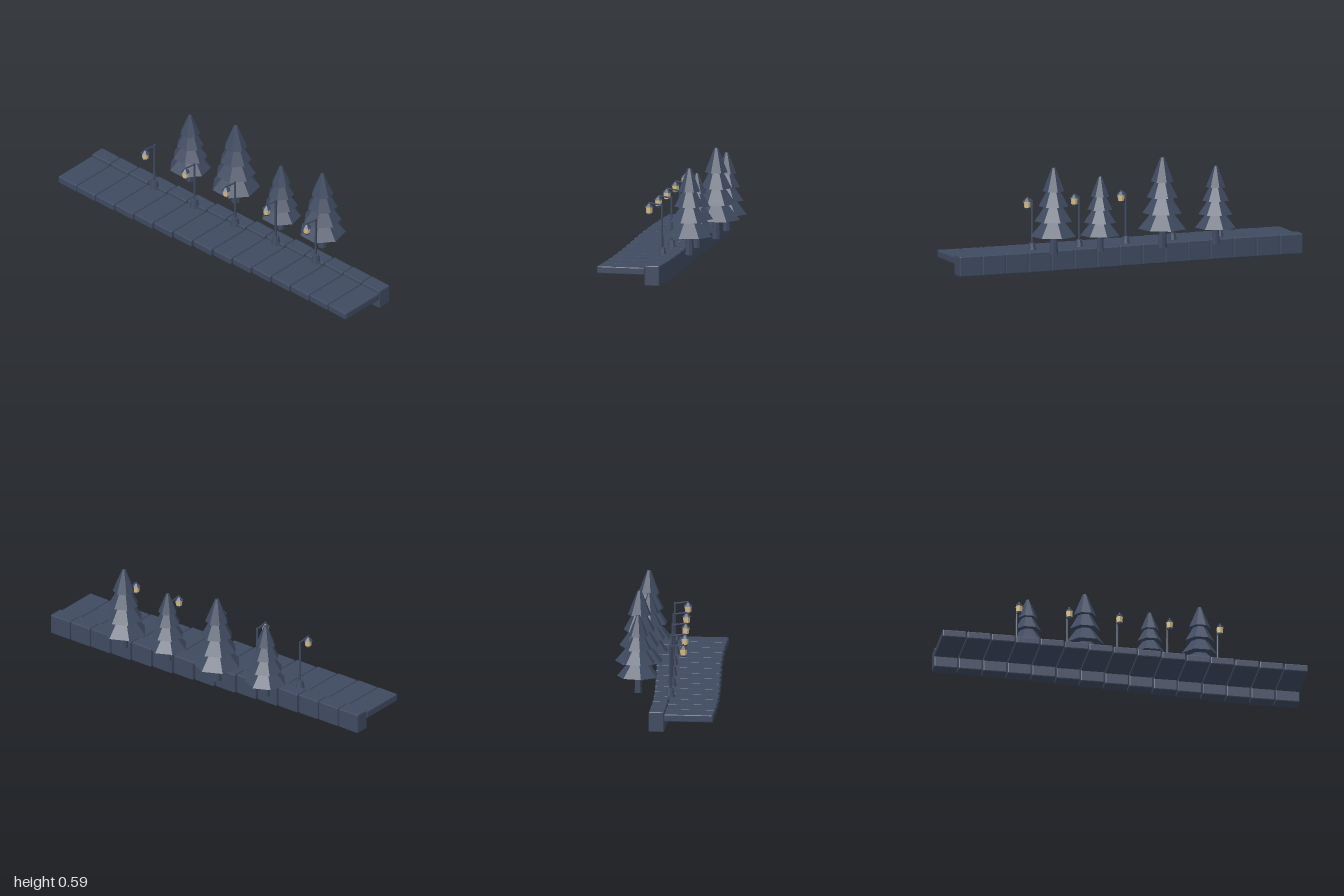
import * as THREE from 'three';
import { RoundedBoxGeometry } from 'three/addons/geometries/RoundedBoxGeometry.js';

const slate = new THREE.MeshStandardMaterial({ color: 0x3f4a60 });
slate.name = 'slate';
const lampGlow = new THREE.MeshStandardMaterial({ color: 0xd6c08a });
lampGlow.name = 'lampGlow';

// gentle S-curve followed by the whole promenade
const drift = (x) => -0.0548 * Math.sin((x * Math.PI) / 2);

// faceted normals
function flat(geometry) {
  const g = geometry.index ? geometry.toNonIndexed() : geometry;
  g.computeVertexNormals();
  return g;
}

function add(parent, name, geometry, material, x = 0, y = 0, z = 0) {
  const mesh = new THREE.Mesh(geometry, material);
  mesh.name = name;
  mesh.position.set(x, y, z);
  parent.add(mesh);
  return mesh;
}

// tapered prism standing between heights y0 and y1
function prism(parent, name, rTop, rBottom, y0, y1, sides, material, z = 0) {
  const g = flat(new THREE.CylinderGeometry(rTop, rBottom, y1 - y0, sides));
  return add(parent, name, g, material, 0, (y0 + y1) / 2, z);
}

// street lamp with a lantern hanging forward
function makeLamp(x) {
  const lamp = new THREE.Group();
  lamp.name = 'streetLamp';
  lamp.position.set(x, 0, drift(x) - 0.006);
  prism(lamp, 'lampBase', 0.016, 0.026, 0.099, 0.147, 8, slate);
  prism(lamp, 'lampPost', 0.0055, 0.0065, 0.14, 0.379, 8, slate);

  const reach = 0.071;
  const start = new THREE.Vector3(0, 0.372, -0.003);
  const end = new THREE.Vector3(0, 0.383, reach + 0.003);
  const armGeometry = new THREE.CylinderGeometry(0.0045, 0.0045, start.distanceTo(end), 6);
  const arm = add(lamp, 'lampArm', flat(armGeometry), slate);
  arm.position.copy(start).lerp(end, 0.5);
  arm.quaternion.setFromUnitVectors(new THREE.Vector3(0, 1, 0), end.clone().sub(start).normalize());

  prism(lamp, 'lanternFoot', 0.016, 0.013, 0.319, 0.328, 6, slate, reach);
  prism(lamp, 'lanternGlass', 0.0195, 0.0165, 0.328, 0.36, 6, lampGlow, reach);
  prism(lamp, 'lanternRoof', 0.006, 0.0255, 0.36, 0.379, 6, slate, reach);
  return lamp;
}

// four-tiered conifer
function makeTree(x, z, size) {
  const tree = new THREE.Group();
  tree.name = 'pineTree';
  tree.position.set(x, 0.1, z);
  tree.scale.setScalar(size);
  prism(tree, 'trunk', 0.018, 0.024, 0, 0.13, 7, slate);
  for (let i = 0; i < 4; i++) {
    const r = 0.131 - i * 0.0228;
    const y = 0.105 + i * 0.0845;
    const tier = prism(tree, 'foliageTier', r * 0.17, r, y, y + 0.13, 7, slate);
    tier.rotation.y = Math.PI;
  }
  return tree;
}

export function createModel() {
  const model = new THREE.Group();
  model.name = 'promenade';

  // paving slabs and the retaining wall behind them
  const count = 15;
  const pitch = 2 / count;
  const width = 0.129;
  const slabGeometry = flat(new RoundedBoxGeometry(width, 0.0415, 0.262, 1, 0.006));
  const wallGeometry = flat(new RoundedBoxGeometry(width, 0.111, 0.082, 1, 0.006));
  for (let i = 0; i < count; i++) {
    const x = (i - (count - 1) / 2) * pitch;
    add(model, 'pavingSlab', slabGeometry, slate, x, 0.0785, drift(x) + 0.1215);
    add(model, 'wallBlock', wallGeometry, slate, x, 0.0555, drift(x) - 0.05);
  }

  for (let i = -2; i <= 2; i++) model.add(makeLamp(i * 0.275));

  const trees = [
    [-0.46, -0.145, 0.86],
    [-0.148, -0.168, 1],
    [0.2, -0.15, 0.82],
    [0.475, -0.178, 0.955],
  ];
  for (const [x, z, size] of trees) model.add(makeTree(x, z, size));

  return model;
}
